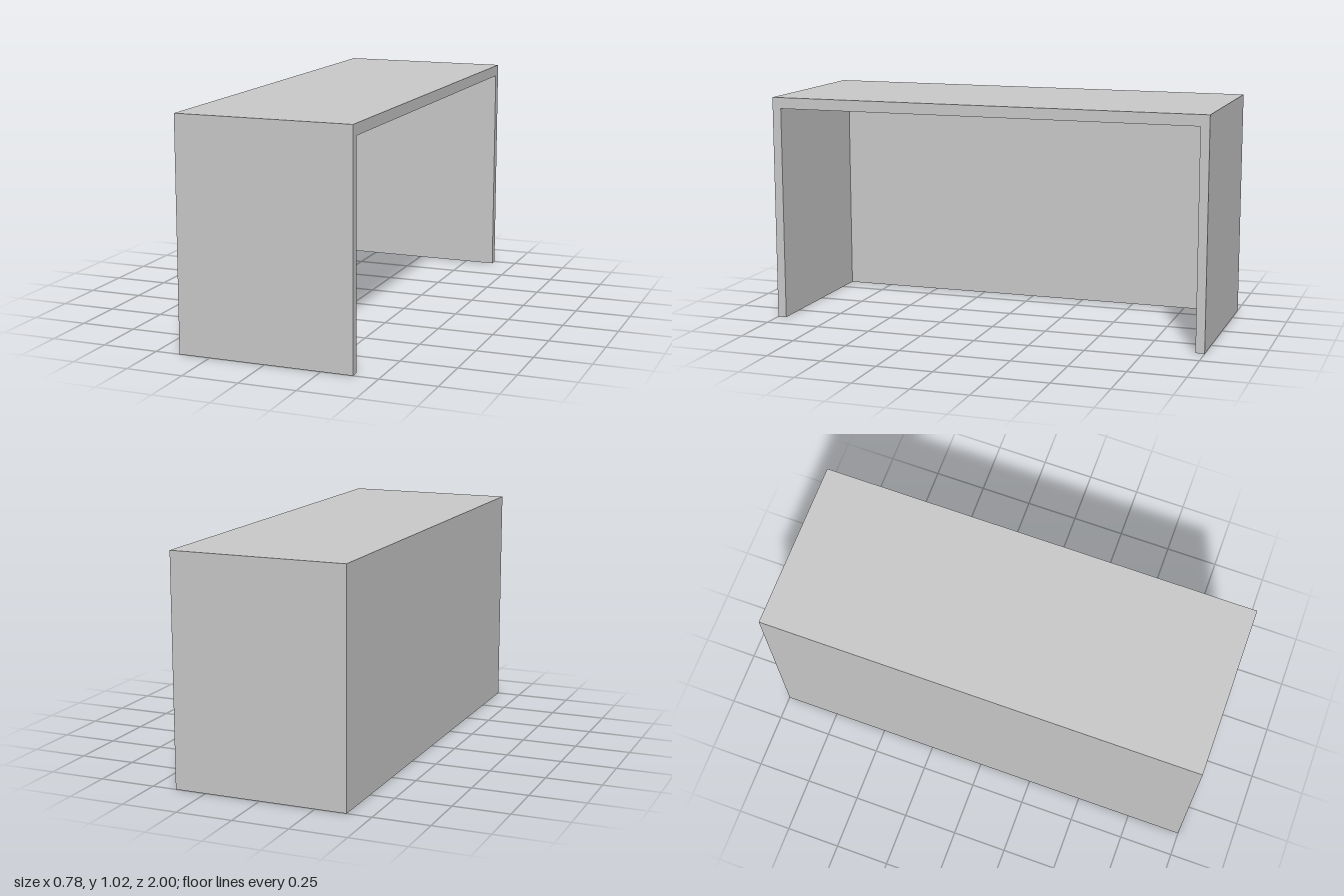
import * as THREE from 'three';

export function createModel() {
  const model = new THREE.Group();
  model.name = 'receptionDesk';
  const material = new THREE.MeshStandardMaterial({ color: 0xcccccc, flatShading: true });

  const width = 0.78, height = 1.02, length = 2;
  const side = 0.04, top = 0.05, back = 0.03;
  const outer = length / 2, inner = outer - side, under = height - top;

  // Top and two end panels as one inverted U, swept across the depth
  const profile = new THREE.Shape([
    [-outer, 0], [-inner, 0], [-inner, under], [inner, under],
    [inner, 0], [outer, 0], [outer, height], [-outer, height],
  ].map(([x, y]) => new THREE.Vector2(x, y)));
  const frameGeometry = new THREE.ExtrudeGeometry(profile, { depth: width, bevelEnabled: false });
  frameGeometry.translate(0, 0, -width / 2).rotateY(Math.PI / 2);
  const frame = new THREE.Mesh(frameGeometry, material);
  frame.name = 'topAndEndPanels';
  model.add(frame);

  // Full-height panel closing the -x side, flush with the frame
  const panel = new THREE.Mesh(new THREE.BoxGeometry(back, under, inner * 2), material);
  panel.name = 'modestyPanel';
  panel.position.set(-width / 2 + back / 2, under / 2, 0);
  model.add(panel);

  return model;
}
